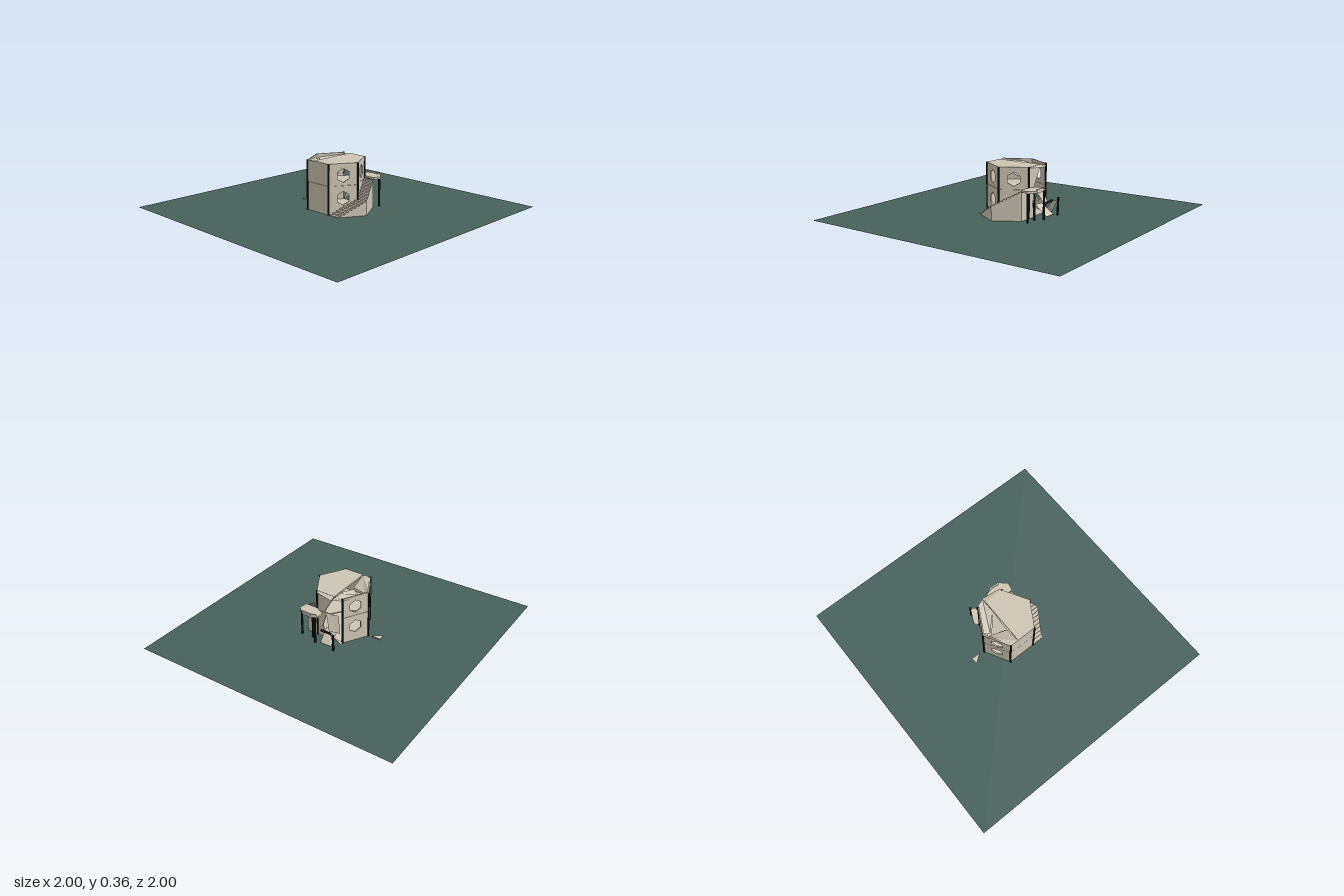
import * as THREE from 'three';

export function createModel() {
  const model = new THREE.Group();
  const concrete = new THREE.MeshStandardMaterial({ color: 0xcdc5b5, side: THREE.DoubleSide, flatShading: true });
  concrete.name = 'concrete';
  const steel = new THREE.MeshStandardMaterial({ color: 0x1b2020, flatShading: true });
  steel.name = 'dark steel';
  const earth = new THREE.MeshStandardMaterial({ color: 0x48605b, side: THREE.DoubleSide });
  earth.name = 'ground green';

  const add = (name, geo, mat, parent = model) => {
    const mesh = new THREE.Mesh(geo, mat);
    mesh.name = name;
    parent.add(mesh);
    return mesh;
  };
  // Upright prism over a plan outline of [x, z] points
  const prism = (name, plan, y0, y1, parent) => {
    const shape = new THREE.Shape(plan.map(([x, z]) => new THREE.Vector2(x, -z)));
    const geo = new THREE.ExtrudeGeometry(shape, { depth: y1 - y0, bevelEnabled: false });
    geo.rotateX(-Math.PI / 2).translate(0, y0, 0);
    return add(name, geo, concrete, parent);
  };
  // Thin broken sheet, a fan over 3D corners
  const sheet = (name, pts) => {
    const geo = new THREE.BufferGeometry();
    geo.setAttribute('position', new THREE.Float32BufferAttribute(pts.flat(), 3));
    const idx = [];
    for (let i = 1; i < pts.length - 1; i++) idx.push(0, i, i + 1);
    geo.setIndex(idx);
    geo.computeVertexNormals();
    return add(name, geo, concrete);
  };
  // Round post between two points
  const post = (name, a, b, r) => {
    const from = new THREE.Vector3(...a), dir = new THREE.Vector3(...b).sub(from);
    const mesh = add(name, new THREE.CylinderGeometry(r, r, dir.length(), 8), steel);
    mesh.position.copy(from).addScaledVector(dir, 0.5);
    mesh.quaternion.setFromUnitVectors(new THREE.Vector3(0, 1, 0), dir.normalize());
    return mesh;
  };

  // Ground
  add('ground', new THREE.PlaneGeometry(2, 2).rotateX(-Math.PI / 2), earth);

  // Hexagonal tower plan, starting front left and running round by +x
  const hex = [[-0.105, 0.18], [0.105, 0.18], [0.21, 0], [0.105, -0.18], [-0.105, -0.18], [-0.205, 0]];
  const T = 0.01;

  // Wall panel of one storey on edge i, optionally with a hexagonal window or a broken outline
  const wall = (name, i, y0, y1, windowY, outline) => {
    const [ax, az] = hex[i], [bx, bz] = hex[(i + 1) % 6];
    const len = Math.hypot(bx - ax, bz - az);
    const pts = outline || [[0, y0], [len, y0], [len, y1], [0, y1]];
    const shape = new THREE.Shape(pts.map(p => new THREE.Vector2(...p)));
    if (windowY) {
      const hole = [];
      for (let k = 0; k < 6; k++) {
        const a = k * Math.PI / 3 + Math.PI / 6;
        hole.push(new THREE.Vector2(len / 2 + 0.049 * Math.cos(a), windowY + 0.049 * Math.sin(a)));
      }
      shape.holes.push(new THREE.Path(hole));
    }
    const geo = new THREE.ExtrudeGeometry(shape, { depth: T, bevelEnabled: false }).translate(0, 0, -T);
    const mesh = add(name, geo, concrete);
    mesh.position.set(ax, 0, az);
    mesh.rotation.y = Math.atan2(-(bz - az), bx - ax);
  };
  const sides = ['front', 'frontRight', 'backRight', 'back', 'backLeft', 'frontLeft'];
  for (const i of [0, 1, 2, 4, 5]) {
    const open = i !== 0;
    wall(sides[i] + 'LowerWall', i, 0, 0.204, open && i !== 2 ? 0.115 : 0);
    wall(sides[i] + 'UpperWall', i, 0.206, 0.36, open ? 0.277 : 0);
  }
  // Collapsed back wall: jagged remains
  wall('backLowerRemains', 3, 0, 0, 0, [[0, 0], [0.07, 0], [0.045, 0.09], [0.08, 0.204], [0, 0.204]]);
  wall('backUpperRemains', 3, 0, 0, 0, [[0, 0.206], [0.06, 0.206], [0.1, 0.28], [0.15, 0.36], [0, 0.36]]);

  // Corner columns
  hex.forEach(([x, z], i) => post('cornerColumn', [x, 0, z], [x, i === 5 ? 0.352 : 0.362, z], 0.007));

  // Floors
  prism('groundFloor', hex, 0.002, 0.008);
  prism('upperFloor', [[-0.105, 0.175], [0.105, 0.175], [0.2, 0], [0.105, -0.175], [0, -0.175], [-0.06, -0.09], [-0.195, 0]], 0.197, 0.206);

  // Intact part of the roof, and the sunken broken sheets beside it
  prism('roof', [[-0.04, 0.18], [0.105, 0.18], [0.21, 0], [0.105, -0.18], [-0.04, -0.18]], 0.35, 0.362);
  sheet('roofBackFlap', [[-0.04, 0.361, -0.178], [0.105, 0.361, -0.178], [0.09, 0.356, -0.2], [-0.04, 0.346, -0.22]]);
  sheet('roofFrontSheet', [[-0.04, 0.36, 0.18], [-0.105, 0.36, 0.18], [-0.195, 0.34, 0.02], [-0.15, 0.32, 0.025], [-0.04, 0.31, 0.06]]);
  sheet('roofFallenSheet', [[-0.04, 0.355, -0.1], [-0.04, 0.3, 0.06], [-0.16, 0.23, 0.03]]);
  sheet('roofBackSheet', [[-0.04, 0.348, -0.215], [-0.105, 0.35, -0.19], [-0.19, 0.335, -0.01], [-0.15, 0.315, 0.01], [-0.04, 0.345, -0.1]]);

  // Solid outside stair following the two right walls
  const stair = new THREE.Group();
  stair.name = 'outsideStair';
  model.add(stair);
  const innerX = z => 0.21 - Math.abs(z) * 0.583;
  const steps = 16, z0 = 0.18, run = 0.36 / steps;
  for (let i = 0; i < steps; i++) {
    const a = z0 - i * run, b = a - run;
    prism('step', [[innerX(a), a], [innerX(a) + 0.085, a], [innerX(b) + 0.085, b], [innerX(b), b]],
      0, 0.21 * (i + 0.4) / steps, stair);
  }

  // Landing on posts behind the stair
  prism('landing', [[0.105, -0.18], [0.2, -0.18], [0.212, -0.24], [0.16, -0.285], [0.085, -0.29], [0.035, -0.265], [0.035, -0.22]], 0.205, 0.22);
  prism('landingRim', [[0.05, -0.27], [0.085, -0.29], [0.16, -0.285], [0.15, -0.275], [0.09, -0.278]], 0.22, 0.231);
  for (const [x, z] of [[0.2, -0.235], [0.11, -0.23], [0.06, -0.275]]) {
    post('landingPost', [x, 0, z], [x, 0.208, z], 0.008);
  }

  // Rubble behind the collapsed wall
  post('leaningPost', [-0.1, 0, -0.285], [-0.1, 0.13, -0.29], 0.008);
  post('fallenBeam', [-0.065, 0.11, -0.262], [0.025, 0.1, -0.25], 0.009);
  sheet('leaningSlab', [[-0.13, 0.01, -0.22], [-0.1, 0.12, -0.29], [-0.05, 0.1, -0.265], [-0.07, 0.03, -0.2], [-0.1, 0.01, -0.18]]);
  sheet('rubbleSlab', [[-0.07, 0.01, -0.27], [0.02, 0.01, -0.27], [0.03, 0.09, -0.18], [-0.06, 0.08, -0.18]]);
  sheet('hangingSlab', [[0.03, 0.2, -0.18], [-0.06, 0.2, -0.16], [-0.1, 0.09, -0.2], [-0.02, 0.09, -0.22]]);

  // Loose fragment lying to the left of the tower
  prism('looseFragment', [[-0.31, -0.01], [-0.24, -0.008], [-0.305, 0.04]], 0.008, 0.016);

  return model;
}
